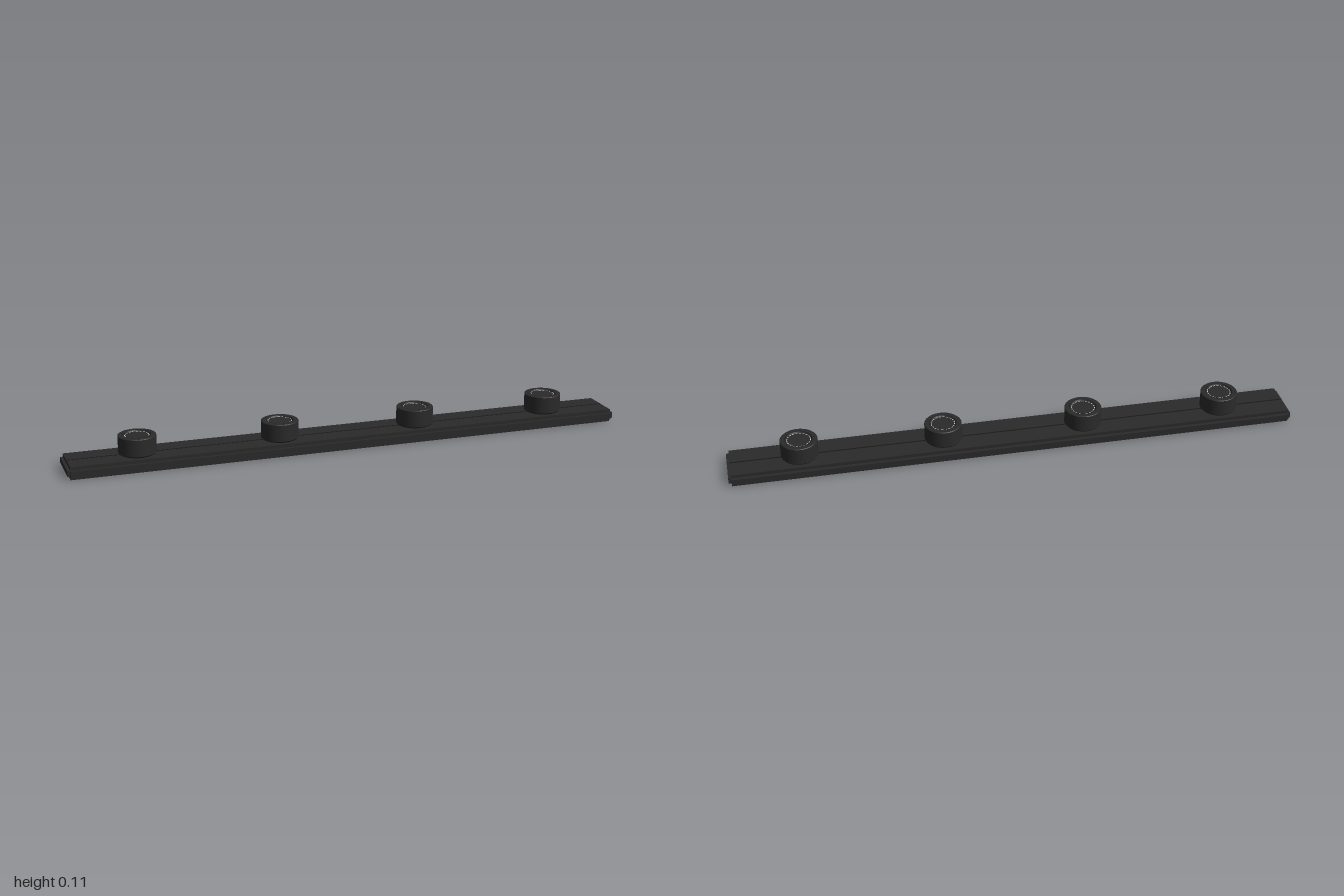
import * as THREE from 'three';

const charcoal = new THREE.MeshStandardMaterial({ color: 0x2a2a2a });
charcoal.name = 'charcoal';
const black = new THREE.MeshStandardMaterial({ color: 0x1a1a1a });
black.name = 'black';
const paleGrey = new THREE.MeshStandardMaterial({ color: 0xcccccc, side: THREE.DoubleSide });
paleGrey.name = 'pale grey';

function add(parent, name, geometry, material, x = 0, y = 0, z = 0) {
  const mesh = new THREE.Mesh(geometry, material);
  mesh.name = name;
  mesh.position.set(x, y, z);
  parent.add(mesh);
  return mesh;
}

// Knob: narrow foot, straight wall, softened rim and a shallow dished top
function createKnob() {
  const knob = new THREE.Group();
  knob.name = 'knob';
  const profile = [
    [0.058, 0], [0.062, 0.002], [0.065, 0.006], [0.065, 0.006], [0.065, 0.064], [0.065, 0.064],
    [0.063, 0.066], [0.063, 0.066], [0.046, 0.066], [0.046, 0.066],
    [0.043, 0.062], [0.043, 0.062], [0, 0.062],
  ].map(([r, y]) => new THREE.Vector2(r, y));
  add(knob, 'knobBody', new THREE.LatheGeometry(profile, 48), charcoal);

  // Fine broken ring marked in the dish
  const dashes = 20;
  const step = (Math.PI * 2) / dashes;
  for (let i = 0; i < dashes; i++) {
    const dash = new THREE.RingGeometry(0.039, 0.042, 4, 1, i * step, step * 0.6);
    dash.rotateX(-Math.PI / 2);
    add(knob, 'ringMark', dash, paleGrey, 0, 0.063, 0);
  }
  // Dark outline where the dish begins
  const edge = new THREE.RingGeometry(0.046, 0.048, 48).rotateX(-Math.PI / 2);
  add(knob, 'dishEdge', edge, black, 0, 0.0665, 0);
  return knob;
}

export function createModel() {
  const model = new THREE.Group();
  model.name = 'knobRail';

  // Long flat base
  add(model, 'base', new THREE.BoxGeometry(1.98, 0.045, 0.15), charcoal, 0, 0.0225, 0);

  // Raised bands on the long sides and the ends, open at the corners
  for (const s of [-1, 1]) {
    add(model, 'sideBand', new THREE.BoxGeometry(1.98, 0.02, 0.012), charcoal, 0, 0.023, s * 0.081);
    add(model, 'endBand', new THREE.BoxGeometry(0.01, 0.02, 0.15), charcoal, s * 0.995, 0.023, 0);
  }

  // Seam along the middle of the top
  add(model, 'topSeam', new THREE.BoxGeometry(1.98, 0.001, 0.005), black, 0, 0.0453, 0);

  // Four evenly spaced knobs
  for (const x of [-0.75, -0.25, 0.25, 0.75]) {
    const knob = createKnob();
    knob.position.set(x, 0.045, 0);
    model.add(knob);
  }
  return model;
}
